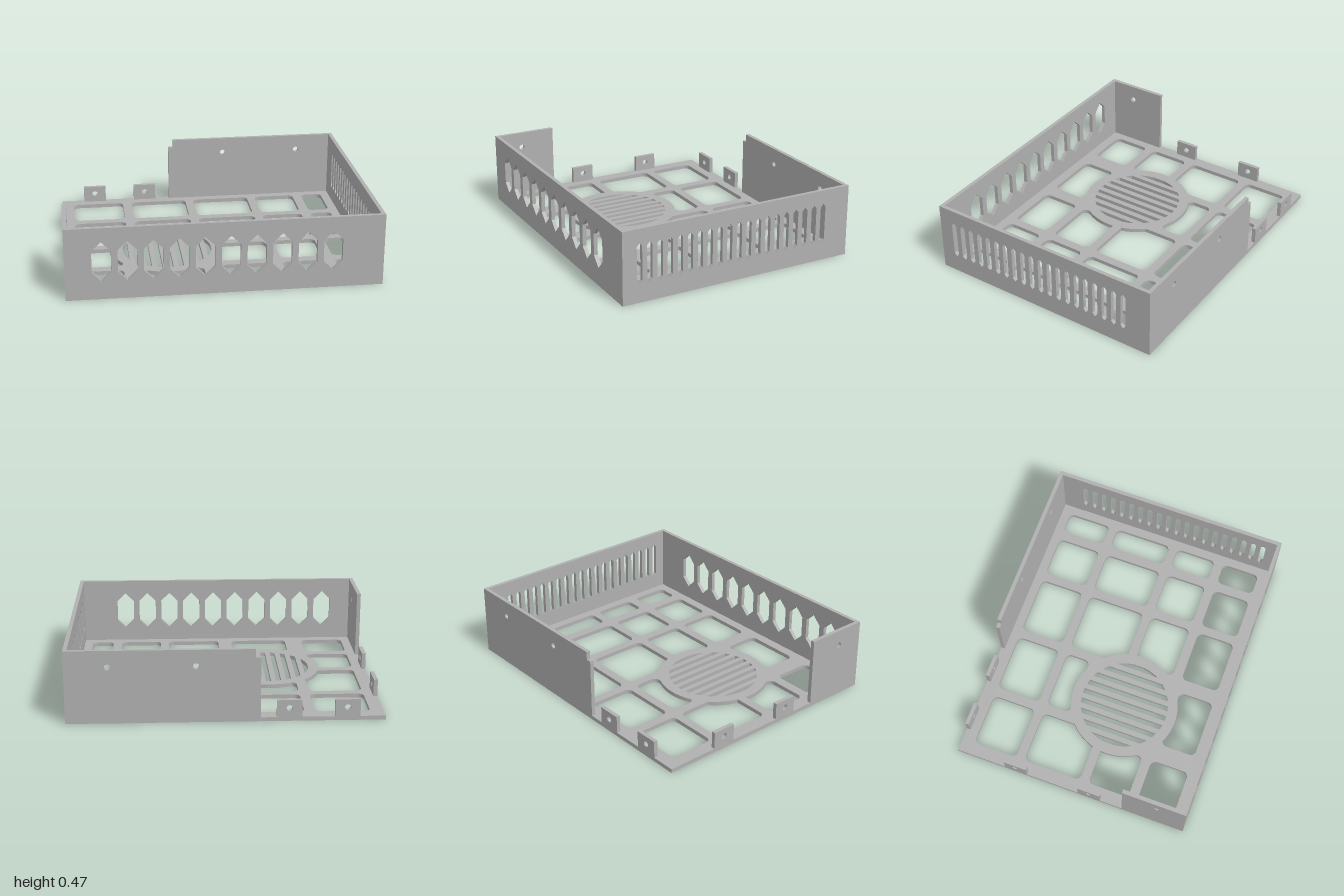
import * as THREE from 'three';

const T = 0.026;            // sheet thickness
const X = 1, Z = 0.805, H = 0.475;
const FAN = { x: -0.313, z: 0.144, ring: 0.366, grill: 0.298 };

const poly = (pts) => new THREE.Shape(pts.map(([x, y]) => new THREE.Vector2(x, y)));
const rect = (x0, y0, x1, y1) => poly([[x0, y0], [x1, y0], [x1, y1], [x0, y1]]);

function roundedRect(x0, y0, x1, y1, r) {
  const s = new THREE.Shape();
  s.absarc(x0 + r, y0 + r, r, Math.PI, Math.PI * 1.5);
  s.absarc(x1 - r, y0 + r, r, Math.PI * 1.5, Math.PI * 2);
  s.absarc(x1 - r, y1 - r, r, 0, Math.PI * 0.5);
  s.absarc(x0 + r, y1 - r, r, Math.PI * 0.5, Math.PI);
  s.closePath();
  return s;
}

function circle(x, y, r) {
  const s = new THREE.Shape();
  s.absarc(x, y, r, 0, Math.PI * 2);
  return s;
}

// upright slot with pointed ends
function pointedSlot(c, halfW, y0, y1, tip) {
  return poly([[c, y0], [c + halfW, y0 + tip], [c + halfW, y1 - tip],
    [c, y1], [c - halfW, y1 - tip], [c - halfW, y0 + tip]]);
}

function plate(shape, holes, segments = 6) {
  shape.holes.push(...holes);
  return new THREE.ExtrudeGeometry(shape, { depth: T, bevelEnabled: false, curveSegments: segments });
}

// floor window: any outline inside the fan ring is pushed out to the ring
function floorWindow(x0, z0, x1, z1) {
  const shape = roundedRect(x0, z0, x1, z1, 0.038);
  const inside = (p) => Math.hypot(p.x - FAN.x, p.y - FAN.z) < FAN.ring;
  const pts = shape.getSpacedPoints(140).slice(0, -1);
  if (!pts.some(inside)) return shape;
  return poly(pts.map((p) => {
    if (!inside(p)) return [p.x, p.y];
    const a = Math.atan2(p.y - FAN.z, p.x - FAN.x);
    return [FAN.x + FAN.ring * Math.cos(a), FAN.z + FAN.ring * Math.sin(a)];
  }));
}

// grill slot: a strip clipped by the fan circle
function grillSlot(c, halfW) {
  const r = FAN.grill, n = 6, top = [], bottom = [];
  for (let i = 0; i <= n; i++) {
    const dx = THREE.MathUtils.clamp(c - halfW + (2 * halfW * i) / n, -r + 0.002, r - 0.002);
    const dz = Math.sqrt(r * r - dx * dx);
    top.push([FAN.x + dx, FAN.z - dz]);
    bottom.unshift([FAN.x + dx, FAN.z + dz]);
  }
  return poly([...top, ...bottom]);
}

export function createModel() {
  const group = new THREE.Group();
  const grey = new THREE.MeshStandardMaterial({ color: 0xb0b0b0 });
  grey.name = 'grey';

  const add = (name, geometry, x, y, z, turned = false) => {
    const mesh = new THREE.Mesh(geometry, grey);
    mesh.name = name;
    if (turned) geometry.rotateY(Math.PI / 2); // sheet u axis becomes -z
    mesh.position.set(x, y, z);
    group.add(mesh);
  };

  // floor with window grid and fan grill
  const cols = [[-0.914, -0.561], [-0.497, -0.102], [-0.043, 0.358], [0.417, 0.7], [0.765, 0.914]];
  const rows = [[-0.719, -0.414], [-0.356, 0.045], [0.104, 0.388], [0.452, 0.714]];
  const holes = [];
  cols.forEach(([x0, x1], c) => rows.forEach(([z0, z1], r) => {
    if (c === 1 && r === 2) return;            // covered by the fan
    if (c === 1 && r === 1) z1 = -0.187;       // shortened beside the fan ring
    if (c === 1 && r === 3) z0 = 0.475;
    if (c === 0 && r === 2) x1 = -0.62;
    if (c === 2 && r === 2) x0 = -0.006;
    holes.push(floorWindow(x0, z0, x1, z1));
  }));
  for (let k = -4; k <= 4; k++) holes.push(grillSlot(k * 0.0695, 0.0172));
  const floor = plate(rect(-X, -Z, X, Z), holes);
  floor.rotateX(Math.PI / 2);
  add('floor', floor, 0, T, 0);

  // front wall with ten hexagonal vents
  const vents = [];
  for (let i = 0; i < 10; i++) vents.push(pointedSlot(-0.773 + i * 0.1607, 0.06, 0.12, 0.383, 0.06));
  add('frontWall', plate(rect(-X, T, X, H), vents), 0, 0, Z - T);

  // left wall (+x) with twenty narrow vents
  const slots = [];
  for (let i = 0; i < 20; i++) slots.push(pointedSlot(-0.692 + i * 0.0687, 0.018, 0.12, 0.383, 0.02));
  add('leftWall', plate(rect(-Z + T, T, Z - T, H), slots), X - T, 0, 0, true);

  // back wall, notched at its free upper corner
  const back = poly([[-0.215, T], [X, T], [X, H], [-0.18, H], [-0.18, 0.42], [-0.215, 0.42]]);
  add('backWall', plate(back, [circle(0.185, 0.368, 0.02), circle(0.73, 0.368, 0.02)]), 0, 0, -Z);

  // short right wall (-x)
  add('rightWall', plate(rect(-Z + T, T, -0.375, H), [circle(-0.615, 0.368, 0.02)]), -X, 0, 0, true);

  // screw tabs along the open corner
  const tab = () => plate(rect(-0.079, T, 0.079, 0.138), [circle(0, 0.085, 0.02)]);
  for (const x of [-0.76, -0.395]) add('backTab', tab(), x, 0, -Z);
  for (const z of [-0.382, 0.14]) add('rightTab', tab(), -X, 0, z, true);

  return group;
}
